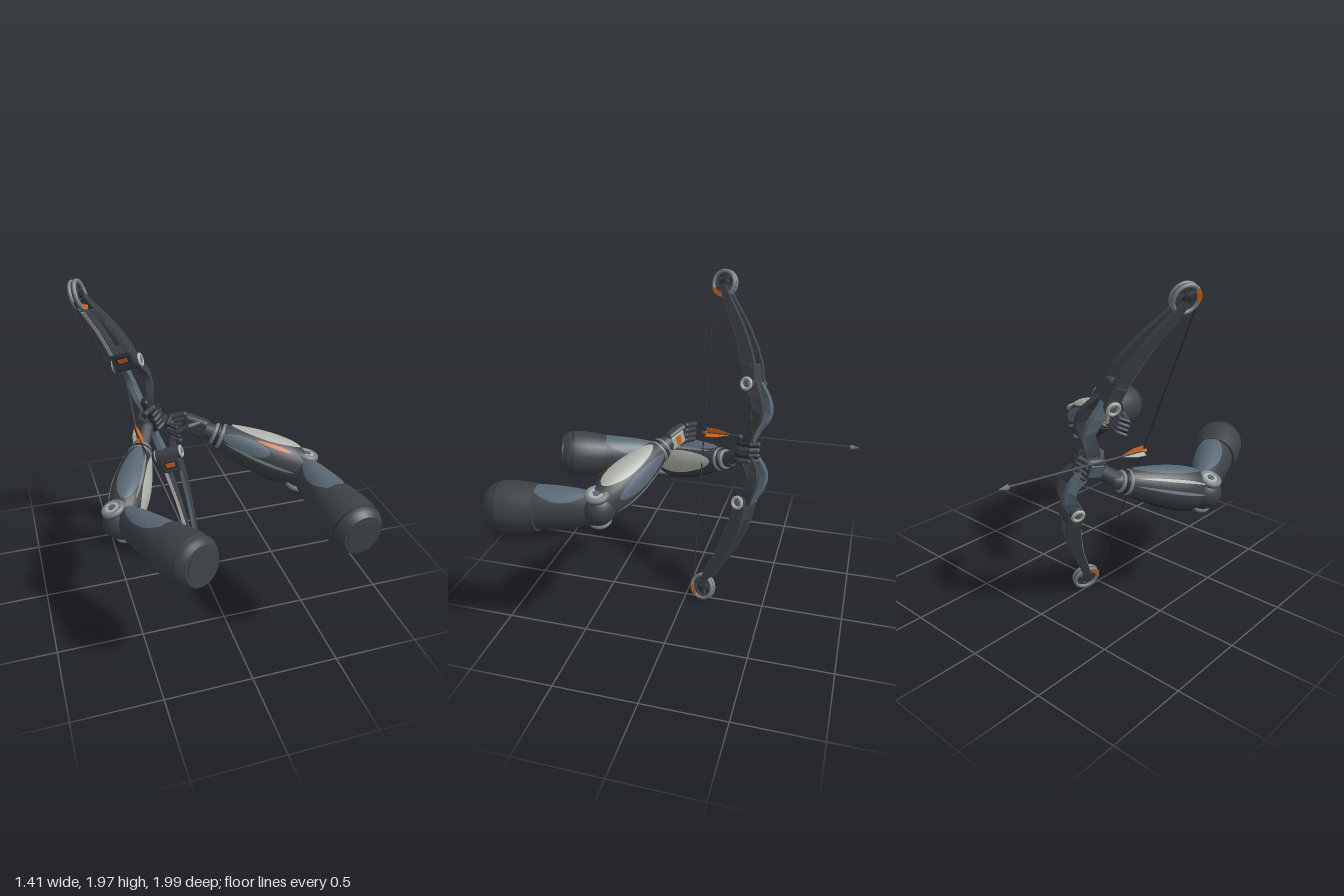
import * as THREE from 'three';
import { RoundedBoxGeometry } from 'three/addons/geometries/RoundedBoxGeometry.js';

const paint = (name, color) => { const m = new THREE.MeshStandardMaterial({ color }); m.name = name; return m; };
const dark = paint('dark grey', 0x3d4247), black = paint('charcoal', 0x2b2e32), slate = paint('slate', 0x596773),
  light = paint('light grey', 0xadb0a8), grey = paint('mid grey', 0x7b8385), orange = paint('orange', 0xd0641c);
const V = (x, y, z) => new THREE.Vector3(x, y, z);
const UP = V(0, 1, 0);

function add(parent, name, geo, mat, x = 0, y = 0, z = 0) {
  const m = new THREE.Mesh(geo, mat);
  m.name = name;
  m.position.set(x, y, z);
  parent.add(m);
  return m;
}
// group at p0 whose local z runs towards p1
function segment(parent, name, p0, p1, up = UP) {
  const g = new THREE.Group(), z = p1.clone().sub(p0).normalize(), x = up.clone().cross(z).normalize();
  g.quaternion.setFromRotationMatrix(new THREE.Matrix4().makeBasis(x, z.clone().cross(x), z));
  g.position.copy(p0);
  g.name = name;
  parent.add(g);
  return g;
}
function capsule(parent, name, a, b, r, mat) {
  const d = b.clone().sub(a), m = add(parent, name, new THREE.CapsuleGeometry(r, d.length(), 4, 10), mat);
  m.position.copy(a).addScaledVector(d, 0.5);
  m.quaternion.setFromUnitVectors(UP, d.normalize());
}
const chain = (parent, name, pts, r, mat) => {
  for (let i = 1; i < pts.length; i++) capsule(parent, name, pts[i - 1], pts[i], r * (1.08 - 0.08 * i), i === 1 ? dark : mat);
};
// skin from rows of points; closed rows wrap around
function skin(rows, closed) {
  const n = rows[0].length, pos = rows.flat(2), idx = [], cols = closed ? n : n - 1;
  for (let i = 0; i < rows.length - 1; i++) for (let j = 0; j < cols; j++) {
    const a = i * n + j, b = i * n + (j + 1) % n;
    idx.push(a, b, a + n, b, b + n, a + n);
  }
  const g = new THREE.BufferGeometry();
  g.setAttribute('position', new THREE.Float32BufferAttribute(pos, 3));
  g.setIndex(idx);
  g.computeVertexNormals();
  return g;
}
// sections are [distance, half width, half height]
const profile = (sections) => new THREE.CatmullRomCurve3(sections.map(([t, a, b]) => V(a, b, t)));
function body(curve, n = 24, steps = 20) {
  const ring = (u, s) => {
    const p = curve.getPoint(u);
    return Array.from({ length: n }, (_, j) => {
      const a = j / n * Math.PI * 2;
      return [Math.cos(a) * p.x * s, Math.sin(a) * p.y * s, p.z];
    });
  };
  const rows = [ring(0, 0), ring(0, 1)];
  for (let i = 0; i <= steps; i++) rows.push(ring(i / steps, 1));
  rows.push(ring(1, 1), ring(1, 0));
  return skin(rows, true);
}
// lens-shaped plate lying just above a body; angles in degrees
function plate(curve, angle, half, u0, u1, lift = 0.006) {
  const rows = [];
  for (let i = 0; i <= 16; i++) {
    const s = i / 16, p = curve.getPoint(u0 + (u1 - u0) * s), w = half * (0.15 + 0.85 * Math.pow(Math.sin(Math.PI * s), 0.6));
    rows.push(Array.from({ length: 11 }, (_, j) => {
      const a = THREE.MathUtils.degToRad(angle + w * (j / 5 - 1));
      return [Math.cos(a) * (p.x + lift), Math.sin(a) * (p.y + lift), p.z];
    }));
  }
  return skin(rows, false);
}

function upperArm(parent, shoulder, elbow, panelAngle) {
  const g = segment(parent, 'upperArm', shoulder, elbow), L = shoulder.distanceTo(elbow);
  add(g, 'shoulderCuff', body(profile([[0, 0.11, 0.115], [0.045, 0.14, 0.142], [0.13, 0.15, 0.148], [0.28, 0.134, 0.135]])), dark);
  add(g, 'cuffSeam', new THREE.TorusGeometry(0.144, 0.004, 6, 32), black, 0, 0, 0.06);
  add(g, 'shoulderCap', new THREE.CylinderGeometry(0.095, 0.095, 0.01, 28).rotateX(Math.PI / 2), dark, 0, 0, -0.002);
  const c = profile([[0.2, 0.126, 0.128], [0.36, 0.112, 0.125], [L * 0.8, 0.092, 0.115], [L, 0.07, 0.095]]);
  add(g, 'upperArmBody', body(c), dark);
  add(g, 'upperArmPanel', plate(c, panelAngle, 52, 0.12, 0.95), slate);
  add(g, 'upperArmUnderPanel', plate(c, panelAngle + 180, 35, 0.2, 0.9), black);
}
function elbowJoint(parent, center, axis) {
  const g = segment(parent, 'elbow', center, center.clone().add(axis), V(0, 0, 1));
  add(g, 'elbowCore', new THREE.SphereGeometry(0.1, 24, 16), dark);
  add(g, 'elbowDrum', new THREE.CylinderGeometry(0.062, 0.062, 0.2, 28).rotateX(Math.PI / 2), dark);
  for (const s of [-1, 1]) {
    add(g, 'elbowRing', new THREE.TorusGeometry(0.052, 0.017, 10, 32), grey, 0, 0, s * 0.098);
    add(g, 'elbowDisc', new THREE.CylinderGeometry(0.042, 0.042, 0.02, 24).rotateX(Math.PI / 2), light, 0, 0, s * 0.1);
    add(g, 'elbowBolt', new THREE.CylinderGeometry(0.022, 0.022, 0.03, 6).rotateX(Math.PI / 2), slate, 0, 0, s * 0.1);
  }
}
// panels are [name, material, angle, half angle, start, end]
function forearm(parent, elbow, wrist, panels) {
  const g = segment(parent, 'forearm', elbow, wrist), L = elbow.distanceTo(wrist);
  const c = profile([[0, 0.08, 0.1], [L * 0.2, 0.108, 0.125], [L * 0.45, 0.112, 0.122], [L * 0.75, 0.088, 0.096], [L * 0.95, 0.062, 0.07]]);
  add(g, 'forearmBody', body(c), dark);
  for (const [name, mat, ...p] of panels) add(g, name, plate(c, ...p, mat === orange || mat === grey ? 0.009 : 0.006), mat);
  for (let i = 0; i < 3; i++)
    add(g, 'wristRing', new THREE.TorusGeometry(0.062 - i * 0.005, 0.013, 8, 28), i === 1 ? black : grey, 0, 0, L * 0.93 + i * 0.02);
  add(g, 'wristCore', new THREE.CylinderGeometry(0.045, 0.055, 0.1, 20).rotateX(Math.PI / 2), dark, 0, 0, L + 0.01);
}

// one half of the bow: limb, hinge, riser fork and wheel; x sideways, y along the bow, -z away from the archer
function bar(points, width, shift) {
  const curve = new THREE.CatmullRomCurve3(points.map(([d, y, w]) => V(d, y, w))), a = [], b = [];
  for (let i = 0; i <= 16; i++) {
    const p = curve.getPoint(i / 16), t = curve.getTangent(i / 16), k = p.z / Math.hypot(t.x, t.y);
    a.push(new THREE.Vector2(p.x + t.y * k, p.y - t.x * k));
    b.unshift(new THREE.Vector2(p.x - t.y * k, p.y + t.x * k));
  }
  const g = new THREE.ExtrudeGeometry(new THREE.Shape([...a, ...b]), { depth: width, bevelEnabled: false, steps: 1 });
  g.translate(0, 0, -width / 2).rotateY(Math.PI / 2);
  const p = g.attributes.position;
  for (let i = 0; i < p.count; i++) p.setX(i, p.getX(i) + shift(p.getY(i)));
  g.computeVertexNormals();
  return g;
}
function bowHalf(parent, name, sign) {
  const g = new THREE.Group();
  g.name = name;
  if (sign < 0) g.rotation.z = Math.PI;
  parent.add(g);
  const limb = [[0.34, 0.38, 0.038], [0.315, 0.49, 0.042], [0.235, 0.68, 0.033], [0.125, 0.86, 0.024], [0.075, 0.95, 0.018]];
  const fork = [[0.35, 0.36, 0.035], [0.41, 0.24, 0.034], [0.41, 0.17, 0.034], [0.36, 0.09, 0.034], [0.335, 0.02, 0.03]];
  for (const s of [-1, 1]) {
    const limbShift = (y) => s * (0.056 - 0.036 * (y - 0.38) / 0.57);
    add(g, 'limb', bar(limb, 0.028, limbShift), dark);
    const strip = limb.map(([d, y, w]) => [d - w * 0.93, y - w * 0.42, 0.004]);
    add(g, 'limbStrip', bar(strip.slice(0, 4), 0.02, limbShift), s * sign < 0 ? light : slate);
    add(g, 'riserFork', bar(fork, 0.032, (y) => s * (0.012 + 0.045 * Math.sin(Math.PI * THREE.MathUtils.clamp(y / 0.42, 0, 1)))), s * sign < 0 ? slate : dark);
    add(g, 'hingeRing', new THREE.TorusGeometry(0.032, 0.011, 8, 24).rotateY(Math.PI / 2), light, s * 0.082, 0.36, -0.335);
    add(g, 'hingeBolt', new THREE.CylinderGeometry(0.018, 0.018, 0.02, 12).rotateZ(Math.PI / 2), slate, s * 0.08, 0.36, -0.335);
  }
  add(g, 'hinge', new THREE.CylinderGeometry(0.043, 0.043, 0.16, 24).rotateZ(Math.PI / 2), dark, 0, 0.36, -0.335);
  const block = add(g, 'limbPocket', new RoundedBoxGeometry(0.135, 0.14, 0.085, 3, 0.015), dark, 0, 0.41, -0.325);
  block.rotation.x = 0.2;
  add(block, 'pocketMark', new THREE.BoxGeometry(0.06, 0.03, 0.008), orange, 0, 0.01, 0.043);
  add(block, 'pocketInset', new THREE.BoxGeometry(0.085, 0.05, 0.004), black, 0, 0.01, 0.043);

  // wheel with cut-outs between five spokes
  const w = new THREE.Group();
  w.name = 'wheel';
  w.position.set(0, 0.957, -0.08);
  g.add(w);
  const disc = new THREE.Shape().absarc(0, 0, 0.078, 0, Math.PI * 2);
  for (let i = 0; i < 5; i++) {
    const a = i * Math.PI * 0.4, hole = new THREE.Path();
    hole.absarc(0, 0, 0.055, a + 0.15, a + 1.1, false);
    hole.absarc(0, 0, 0.027, a + 0.9, a + 0.35, true);
    disc.holes.push(hole);
  }
  add(w, 'wheelDisc', new THREE.ExtrudeGeometry(disc, { depth: 0.02, bevelEnabled: false, curveSegments: 24 }).translate(0, 0, -0.01).rotateY(Math.PI / 2), dark);
  for (const s of [-1, 1]) {
    add(w, 'wheelRim', new THREE.TorusGeometry(0.074, 0.011, 8, 36).rotateY(Math.PI / 2), grey, s * 0.013);
    add(w, 'wheelMark', new THREE.RingGeometry(0.056, 0.082, 12, 1, -0.1, 1).rotateY(s * Math.PI / 2), orange, s * 0.0245).rotation.x = s > 0 ? -2.6 : -0.1;
  }
  add(w, 'wheelHub', new THREE.CylinderGeometry(0.02, 0.02, 0.06, 16).rotateZ(Math.PI / 2), black);
}

export function createModel() {
  const root = new THREE.Group();
  root.name = 'archerArmsAndBow';

  // drawing arm
  const draw = new THREE.Group();
  draw.name = 'drawingArm';
  root.add(draw);
  upperArm(draw, V(0.575, 0.838, 0.985), V(0.505, 0.87, 0.38), 90);
  elbowJoint(draw, V(0.5, 0.878, 0.37), V(0.25, 0.93, -0.05));
  forearm(draw, V(0.5, 0.885, 0.365), V(0.05, 1.065, 0.135), [
    ['forearmTopPanel', light, 100, 36, 0.14, 0.9], ['forearmFrontPanel', slate, 30, 24, 0.45, 0.98],
    ['forearmBackPanel', slate, 165, 22, 0.2, 0.95], ['forearmMark', orange, 53, 5, 0.25, 0.6],
    ['forearmStripe', grey, 5, 4, 0.1, 0.9], ['forearmStripe', grey, 195, 4, 0.1, 0.9],
    ['forearmGroove', black, 235, 9, 0.1, 0.95], ['forearmGroove', black, 270, 9, 0.1, 0.95], ['forearmGroove', black, 305, 9, 0.1, 0.95]]);
  const hand = segment(draw, 'drawingHand', V(0.05, 1.07, 0.13), V(-0.13, 1.125, 0.03));
  add(hand, 'palm', new RoundedBoxGeometry(0.065, 0.115, 0.15, 4, 0.025), dark, 0, 0, 0.12);
  add(hand, 'handPlate', new RoundedBoxGeometry(0.012, 0.08, 0.1, 2, 0.005), light, -0.032, 0, 0.1);
  add(hand, 'handMark', new THREE.BoxGeometry(0.008, 0.055, 0.035), orange, -0.036, 0, 0.1);
  for (let i = 0; i < 4; i++) {
    const y = 1.158 - i * 0.029, x = i * 0.008;
    chain(draw, 'drawingFinger', [V(-0.1 + x, y, 0.025), V(-0.175 + x, y - 0.02, -0.005), V(-0.205 + x, y - 0.042, 0.035), V(-0.165 + x, y - 0.055, 0.07)], 0.016, i % 2 ? dark : black);
  }
  chain(draw, 'drawingThumb', [V(-0.03, 1.13, 0.1), V(-0.1, 1.12, 0.11), V(-0.16, 1.085, 0.09)], 0.018, dark);

  // bow arm
  const hold = new THREE.Group();
  hold.name = 'bowArm';
  root.add(hold);
  upperArm(hold, V(-0.265, 0.79, 0.925), V(-0.53, 0.7, 0.33), 100);
  elbowJoint(hold, V(-0.56, 0.695, 0.31), V(-0.36, 0.92, 0));
  forearm(hold, V(-0.545, 0.695, 0.31), V(-0.325, 0.85, -0.17), [
    ['forearmInnerPanel', light, 172, 36, 0.1, 0.9], ['forearmTopPanel', slate, 92, 36, 0.15, 0.95],
    ['forearmStripe', grey, 128, 4, 0.2, 0.9], ['forearmStripe', light, 35, 4, 0.1, 0.9], ['forearmStripe', grey, 5, 4, 0.1, 0.9],
    ['forearmGroove', black, 235, 9, 0.1, 0.95], ['forearmGroove', black, 270, 9, 0.1, 0.95], ['forearmGroove', black, 305, 9, 0.1, 0.95]]);

  // bow
  const axis = V(-0.337, 0.941, 0.026).normalize(), away = V(0.339, 0.14, -0.93).normalize(), centre = V(-0.346, 0.977, -0.019);
  const bow = segment(root, 'bow', centre, centre.clone().sub(away), axis);
  bowHalf(bow, 'upperBow', 1);
  bowHalf(bow, 'lowerBow', -1);
  add(bow, 'string', new THREE.CylinderGeometry(0.004, 0.004, 1.92, 8), black, -0.005, 0, 0);
  add(bow, 'grip', new RoundedBoxGeometry(0.05, 0.24, 0.065, 4, 0.02), black, 0, -0.03, -0.33);

  // gripping hand, in the bow's frame
  add(bow, 'palm', new RoundedBoxGeometry(0.06, 0.13, 0.12, 4, 0.025), dark, -0.045, -0.05, -0.31);
  add(bow, 'handPlate', new RoundedBoxGeometry(0.01, 0.08, 0.08, 2, 0.004), slate, -0.075, -0.05, -0.31);
  capsule(hold, 'wristLink', V(-0.325, 0.85, -0.17), V(-0.265, 0.93, -0.28), 0.045, dark);
  for (let i = 0; i < 4; i++) {
    const y = -0.005 - i * 0.034;
    chain(bow, 'grippingFinger', [V(-0.055, y, -0.36), V(-0.01, y, -0.395), V(0.048, y, -0.375), V(0.055, y, -0.315), V(0.03, y, -0.275)], 0.018, i % 2 ? dark : black);
  }
  chain(bow, 'grippingThumb', [V(-0.045, -0.02, -0.28), V(-0.005, 0.025, -0.27), V(0.045, 0.035, -0.3)], 0.019, dark);

  // arrow
  const nock = V(-0.37, 1.0, -0.015), tip = V(-0.26, 1.06, -0.99);
  const arrow = segment(root, 'arrow', nock, tip), L = nock.distanceTo(tip);
  add(arrow, 'shaft', new THREE.CylinderGeometry(0.0065, 0.0065, L - 0.03, 10).rotateX(Math.PI / 2), dark, 0, 0, L / 2 - 0.01);
  add(arrow, 'arrowhead', new THREE.ConeGeometry(0.017, 0.055, 4).rotateX(Math.PI / 2), grey, 0, 0, L - 0.0275);
  add(arrow, 'nock', new THREE.CylinderGeometry(0.01, 0.01, 0.03, 10).rotateX(Math.PI / 2), orange, 0, 0, 0.01);
  const vane = new THREE.Shape([[0.02, 0.005], [0.02, 0.034], [0.09, 0.03], [0.18, 0.005]].map(([x, y]) => new THREE.Vector2(x, y)));
  for (let i = 0; i < 3; i++)
    add(arrow, 'fletching', new THREE.ExtrudeGeometry(vane, { depth: 0.004, bevelEnabled: false }).translate(0, 0, -0.002).rotateY(-Math.PI / 2), i === 2 ? light : orange).rotation.z = i * Math.PI * 2 / 3;
  return root;
}
